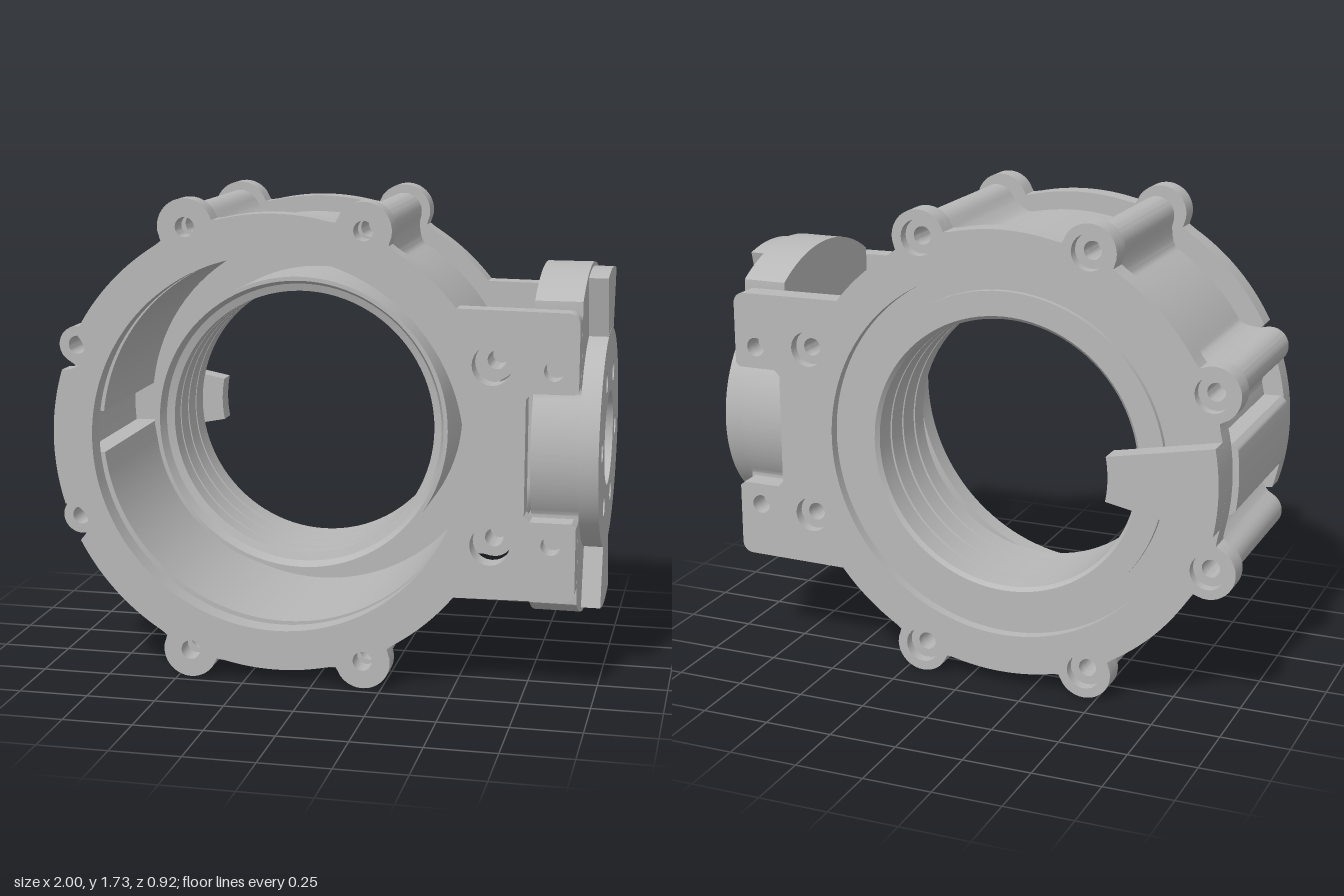
import * as THREE from 'three';
import { toCreasedNormals } from 'three/addons/utils/BufferGeometryUtils.js';

const CX = -0.135, CY = 0.867;     // bore axis
const HUB_Z = 0.042;               // axis of the side drum
const BOLT_R = 0.83;               // bolt circle radius
const rad = THREE.MathUtils.degToRad;
const BOLTS = [22.5, 67.5, 112.5, 157.5, 202.5, 247.5, 292.5, 337.5];
const RIGHT = [22.5, 337.5], LEFT = [157.5, 202.5];
const MIDDLE = BOLTS.filter((a) => !RIGHT.includes(a) && !LEFT.includes(a));

const at = (r, deg) => new THREE.Vector2(r * Math.cos(rad(deg)), r * Math.sin(rad(deg)));

function circle(x, y, r, n = 32) {
  const pts = [];
  for (let i = 0; i < n; i++) {
    const a = (i / n) * Math.PI * 2;
    pts.push(new THREE.Vector2(x + r * Math.cos(a), y + r * Math.sin(a)));
  }
  return new THREE.Path(pts);
}
const boltHoles = (angles, r) => angles.map((a) => {
  const p = at(BOLT_R, a);
  return circle(p.x, p.y, r, 24);
});

// Radius of a round outline with bolt lobes (filleted) and scallops
function outlineRadius(deg, R, lobeR, lobes, scallops, fillet) {
  let r = R;
  const half = THREE.MathUtils.radToDeg(Math.asin(lobeR / BOLT_R));
  for (const a of lobes) {
    const d = Math.abs(deg - a);
    if (d <= half) {
      const s = BOLT_R * Math.sin(rad(d));
      r = Math.max(r, BOLT_R * Math.cos(rad(d)) + Math.sqrt(Math.max(0, lobeR * lobeR - s * s)));
    } else if (d < half + fillet) {
      const t = 1 - (d - half) / fillet;
      r = Math.max(r, R + (BOLT_R * Math.cos(rad(half)) - R) * t * t);
    }
  }
  const cut = 0.07;
  for (const a of scallops) {
    const s = BOLT_R * Math.sin(rad(deg - a));
    if (Math.abs(deg - a) < 30 && Math.abs(s) < cut) {
      r = Math.min(r, BOLT_R * Math.cos(rad(deg - a)) - Math.sqrt(cut * cut - s * s));
    }
  }
  return r;
}

// Flange outline: round body plus two ears on the right with a slot between
function flangeShape(lobes, scallops) {
  const pts = [];
  for (let a = 38.5; a <= 321.5; a += 0.5) {
    pts.push(at(outlineRadius(a, 0.82, 0.1, lobes, scallops, 3), a));
  }
  const ear = [];
  const tip = 1.065, c = 0.04, top = 0.505, slot = 0.225;
  for (let i = 0; i <= 6; i++) {
    const t = (i / 6) * Math.PI / 2;
    ear.push([tip - c + c * Math.sin(t), -top + c - c * Math.cos(t)]);
  }
  ear.push([tip, -slot - 0.015], [tip - 0.015, -slot], [0.905, -slot], [0.885, -slot + 0.02]);
  ear.forEach(([x, y]) => pts.push(new THREE.Vector2(x, y)));
  [...ear].reverse().forEach(([x, y]) => pts.push(new THREE.Vector2(x, -y)));
  return new THREE.Shape(pts);
}

export function createModel() {
  const model = new THREE.Group();
  const grey = new THREE.MeshStandardMaterial({ color: 0xb8b8b8 });
  grey.name = 'machined grey';

  const body = new THREE.Group();
  body.name = 'ringBody';
  body.position.set(CX, CY, 0);
  model.add(body);

  const add = (parent, name, geo) => {
    const mesh = new THREE.Mesh(toCreasedNormals(geo, 0.7), grey);
    mesh.name = name;
    parent.add(mesh);
    return mesh;
  };
  const slab = (shape, z0, z1, holes = []) => {
    shape.holes.push(...holes);
    return new THREE.ExtrudeGeometry(shape, { depth: z1 - z0, bevelEnabled: false })
      .translate(0, 0, z0);
  };
  const earHoles = () => [1, -1].map((s) => circle(0.98, s * 0.305, 0.035, 24));

  // Front flange, separate from the housing, with clearance holes and scallops
  add(body, 'frontFlange', slab(flangeShape(MIDDLE, LEFT), 0.38, 0.46, [
    circle(0, 0, 0.675, 120), ...boltHoles(MIDDLE, 0.035), ...boltHoles(RIGHT, 0.07), ...earHoles(),
  ]));

  // Back flange in two layers, giving counterbored bolt holes and a stepped opening
  const backLobes = BOLTS.filter((a) => !RIGHT.includes(a));
  add(body, 'backFlangeInner', slab(flangeShape(backLobes, []), -0.34, -0.295, [
    circle(0, 0, 0.6, 120), ...boltHoles(BOLTS, 0.033), ...earHoles(),
  ]));
  add(body, 'backFlangeOuter', slab(flangeShape(backLobes, []), -0.38, -0.34, [
    circle(0, 0, 0.675, 120), ...boltHoles(BOLTS, 0.065), ...earHoles(),
  ]));

  // Housing wall with bolt columns, plus a hollow boss on the left
  const outer = [], inner = [];
  for (let a = 0; a < 360; a += 0.5) {
    let r = outlineRadius(a, 0.76, 0.068, BOLTS, [], 5);
    const d = Math.abs(a - 180);
    if (d <= 9) r = Math.max(r, 0.843 - Math.max(0, d - 7.5) * 0.012);
    outer.push(at(r, a));
    inner.push(at(d <= 6 ? 0.76 : 0.675, a));
  }
  add(body, 'housingWall', slab(new THREE.Shape(outer), -0.295, 0.335, [
    new THREE.Path(inner), ...boltHoles(BOLTS, 0.033),
  ]));

  // Solid cores that close the bolt holes part way down
  for (const a of BOLTS) {
    const p = at(BOLT_R, a);
    add(body, 'boltHoleCore', new THREE.CylinderGeometry(0.034, 0.034, 0.4, 24)
      .rotateX(Math.PI / 2).translate(p.x, p.y, 0));
  }

  // Bore sleeve with fine grooves and the floor joining it to the wall
  const profile = [
    [0.6, -0.36], [0.6, -0.3], [0.675, -0.3], [0.675, -0.26], [0.555, -0.26],
    [0.555, 0.08], [0.54, 0.08], [0.525, 0.04], [0.497, 0.03],
  ];
  for (const z of [-0.05, -0.15, -0.25]) {
    profile.push([0.497, z + 0.006], [0.503, z + 0.004], [0.503, z - 0.004], [0.497, z - 0.006]);
  }
  profile.push([0.497, -0.345], [0.51, -0.36], [0.6, -0.36]);
  add(body, 'boreSleeve', new THREE.LatheGeometry(
    profile.map(([r, z]) => new THREE.Vector2(r, z)), 96).rotateX(Math.PI / 2));

  // Sector with radial sides, used for the key and the drum wedges
  const sector = (r0, r1, mid, half) => {
    const pts = [];
    for (let i = 0; i <= 12; i++) pts.push(at(r1, mid - half + (i / 6) * half));
    for (let i = 12; i >= 0; i--) pts.push(at(r0, mid - half + (i / 6) * half));
    return new THREE.Shape(pts);
  };
  add(body, 'backKey', slab(sector(0.425, 0.82, 180, 11), -0.46, -0.38));

  // Side drum facing +x: disc with clipped sides, round hub and two raised wedges
  const drum = new THREE.Group();
  drum.name = 'sideDrum';
  drum.position.set(0, CY, HUB_Z);
  drum.rotation.y = Math.PI / 2;
  model.add(drum);

  const hubHoles = () => [circle(0, 0, 0.17, 64),
    ...[0, 60, 120, 180, 240, 300].map((a) => {
      const p = at(0.257, a);
      return circle(p.x, p.y, 0.037, 24);
    })];
  const disc = [];
  for (let a = 0; a < 360; a += 1) {
    const side = 0.335 / Math.max(0.01, Math.abs(Math.cos(rad(a))));
    disc.push(at(Math.max(0.395, Math.min(0.63, side)), a));
  }
  add(drum, 'drumDisc', slab(new THREE.Shape(disc), 0.765, 0.93, hubHoles()));
  add(drum, 'drumHub', slab(new THREE.Shape(circle(0, 0, 0.395, 120).getPoints()), 0.93, 1.0, hubHoles()));
  for (const a of [90, 270]) add(drum, 'drumWedge', slab(sector(0.39, 0.615, a, 15), 0.93, 0.999));

  return model;
}
